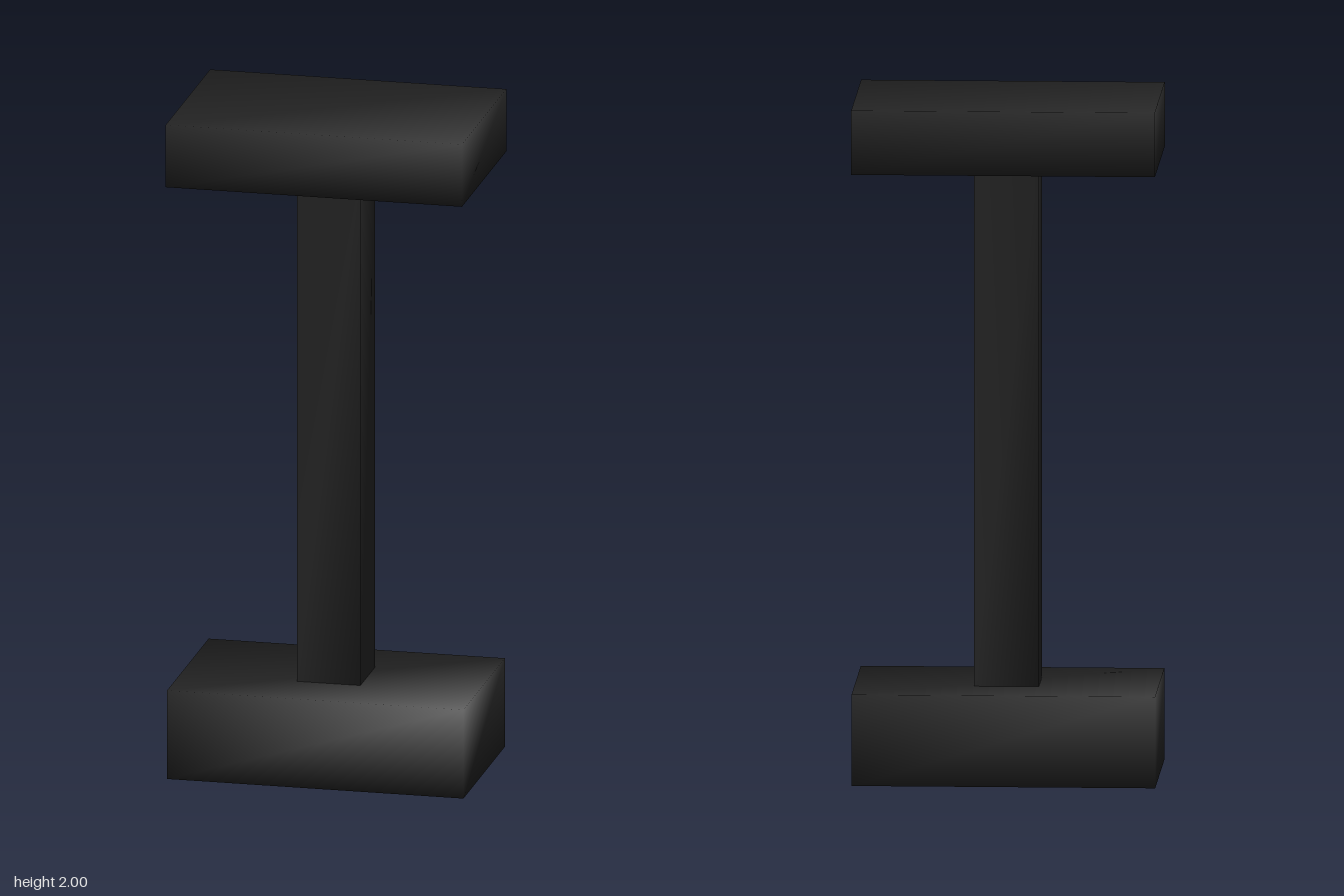
import * as THREE from 'three';
import { mergeVertices } from 'three/addons/utils/BufferGeometryUtils.js';

const black = new THREE.MeshStandardMaterial({ name: 'black', color: 0x222222 });

// Box with shared corners, so its shading is smooth across the edges
function softBox(name, width, depth, bottom, top) {
  let geometry = new THREE.BoxGeometry(width, top - bottom, depth);
  geometry.deleteAttribute('normal');
  geometry.deleteAttribute('uv');
  geometry = mergeVertices(geometry);
  geometry.clearGroups();
  geometry.computeVertexNormals();
  const mesh = new THREE.Mesh(geometry, black);
  mesh.name = name;
  mesh.position.y = (bottom + top) / 2;
  return mesh;
}

export function createModel() {
  const model = new THREE.Group();
  model.name = 'pedestal';
  model.add(
    softBox('base', 0.888, 0.54, 0, 0.27),
    softBox('column', 0.19, 0.19, 0.27, 1.81),
    softBox('topBlock', 0.888, 0.578, 1.81, 2),
  );
  return model;
}
